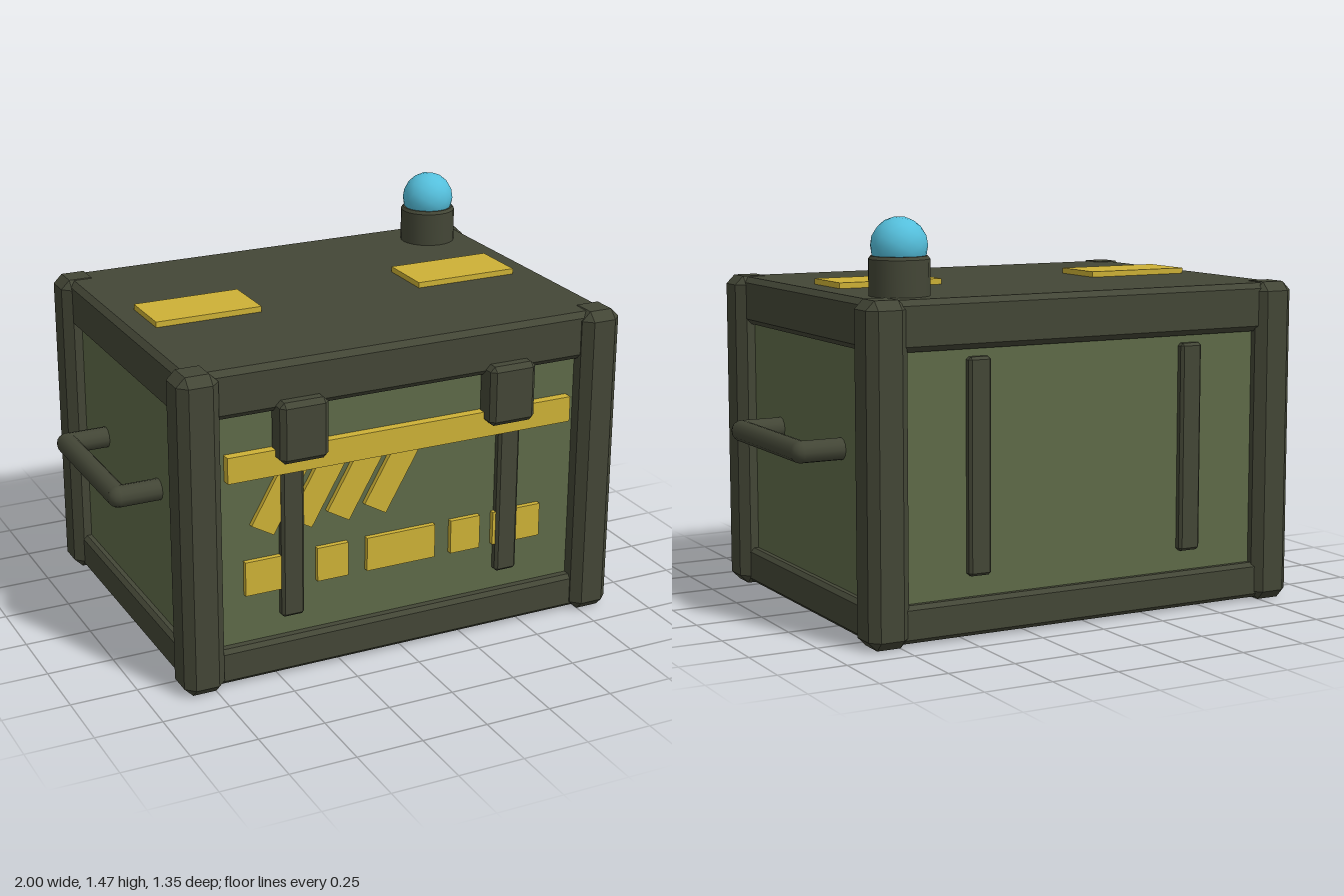
import * as THREE from 'three';
import { ConvexGeometry } from 'three/addons/geometries/ConvexGeometry.js';

const mat = (name, color) => Object.assign(new THREE.MeshStandardMaterial({ color }), { name });

export function createModel() {
  const model = new THREE.Group();
  model.name = 'supplyCrate';
  const frame = mat('darkOlive', 0x434636);
  const green = mat('armyGreen', 0x5e6a48);
  const gold = mat('goldPaint', 0xcdb136);
  const blue = mat('beaconBlue', 0x55c0dd);

  function add(name, geometry, material, x = 0, y = 0, z = 0) {
    const mesh = new THREE.Mesh(geometry, material);
    mesh.name = name;
    mesh.position.set(x, y, z);
    model.add(mesh);
    return mesh;
  }

  // Box between two limits on each axis, with optional chamfered edges
  function box(name, material, [x0, x1], [y0, y1], [z0, z1], c = 0) {
    const h = [(x1 - x0) / 2, (y1 - y0) / 2, (z1 - z0) / 2];
    let geometry;
    if (c > 0) {
      const points = [];
      for (const sx of [-1, 1]) for (const sy of [-1, 1]) for (const sz of [-1, 1]) {
        for (let full = 0; full < 3; full++) {
          const p = [sx, sy, sz].map((s, i) => s * (i === full ? h[i] : h[i] - c));
          points.push(new THREE.Vector3(...p));
        }
      }
      geometry = new ConvexGeometry(points);
    } else {
      geometry = new THREE.BoxGeometry(h[0] * 2, h[1] * 2, h[2] * 2);
    }
    return add(name, geometry, material, (x0 + x1) / 2, (y0 + y1) / 2, (z0 + z1) / 2);
  }

  // Body, lid and base
  box('bodyPanels', green, [-0.805, 0.805], [0.08, 1.1], [-0.615, 0.582]);
  box('lid', frame, [-0.838, 0.838], [1.018, 1.197], [-0.648, 0.622], 0.02);
  box('base', frame, [-0.838, 0.838], [0.01, 0.144], [-0.648, 0.622], 0.015);

  // Corner posts
  for (const x of [-0.793, 0.793]) for (const z of [-0.594, 0.582]) {
    box('cornerPost', frame, [x - 0.077, x + 0.077], [0, 1.2], [z - 0.078, z + 0.078], 0.033);
  }

  // Straps on front and back, latches on the front
  for (const s of [-1, 1]) {
    const x = s * 0.436, lx = s * 0.413;
    box('frontStrap', frame, [x - 0.044, x + 0.044], [0.22, 0.99], [0.56, 0.612], 0.01);
    box('backStrap', frame, [x - 0.044, x + 0.044], [0.22, 0.99], [-0.643, -0.59], 0.01);
    box('latch', frame, [lx - 0.092, lx + 0.092], [0.834, 1.06], [0.57, 0.673], 0.018);
  }

  // Gold markings on the front
  box('frontStripe', gold, [-0.685, 0.685], [0.78, 0.877], [0.57, 0.617]);
  for (const x of [[-0.618, -0.415], [-0.338, -0.215], [-0.14, 0.137], [0.203, 0.325], [0.38, 0.58]]) {
    box('frontDash', gold, x, [0.332, 0.462], [0.57, 0.602]);
  }
  for (let i = 0; i < 4; i++) {
    const bar = add('diagonalBar', new THREE.BoxGeometry(0.098, 0.27, 0.03), gold,
      -0.482 + i * 0.147, 0.69, 0.586);
    bar.rotation.z = -Math.PI / 6;
  }

  // Gold plates on the lid
  for (const x of [[-0.735, -0.325], [0.322, 0.73]]) {
    box('lidPlate', gold, x, [1.18, 1.218], [-0.123, 0.102]);
  }

  // Side handles: two legs, a grip and rounded elbows
  for (const s of [-1, 1]) {
    const r = 0.04, gx = s * 0.96, y = 0.648;
    const ends = [-0.288, 0.262];
    add('handleGrip', new THREE.CylinderGeometry(r, r, 0.55, 12), frame, gx, y, -0.013).rotation.x = Math.PI / 2;
    for (const z of ends) {
      add('handleLeg', new THREE.CylinderGeometry(r, r, 0.18, 12), frame, s * 0.87, y, z).rotation.z = Math.PI / 2;
      add('handleElbow', new THREE.SphereGeometry(r, 12, 8), frame, gx, y, z);
    }
  }

  // Beacon: bevelled socket with a glowing ball; doubled points keep the rims sharp
  const profile = [[0.107, 0], [0.107, 0.127], [0.107, 0.127], [0.099, 0.138], [0.099, 0.138], [0, 0.138]]
    .map(([r, h]) => new THREE.Vector2(r, h));
  add('beaconSocket', new THREE.LatheGeometry(profile, 24), frame, 0.66, 1.197, -0.466);
  add('beaconBall', new THREE.IcosahedronGeometry(0.1, 2), blue, 0.66, 1.37, -0.466);

  return model;
}
